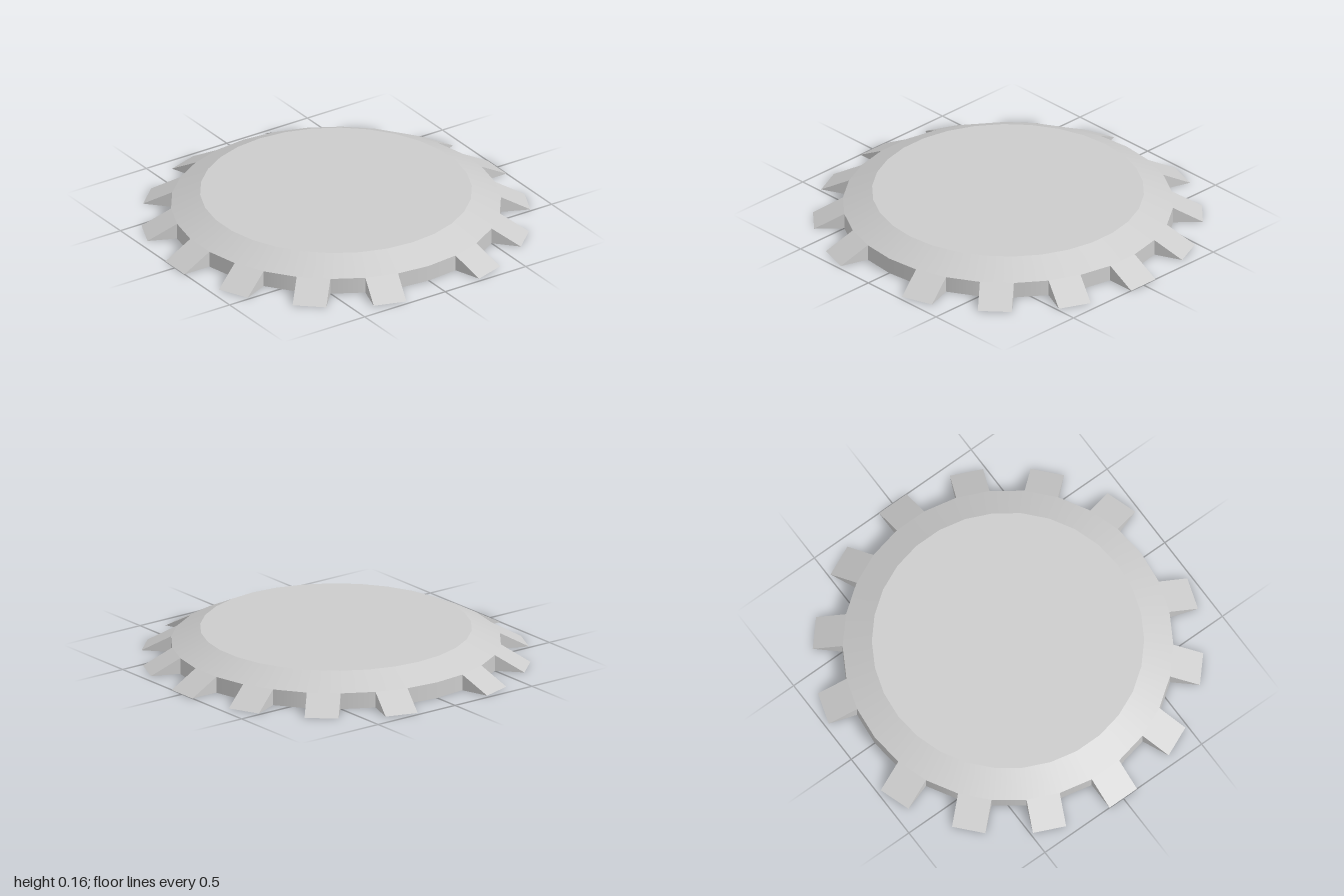
import * as THREE from 'three';

const SIDES = 30;
const TOP_R = 0.7, RIM_R = 0.85, TIP_R = 1;
const RIM_Y = 0.085, TOP_Y = 0.157;
const TOOTH_W = 0.175;

export function createModel() {
  const group = new THREE.Group();
  group.name = 'toothedDisc';
  const material = new THREE.MeshStandardMaterial({ color: 0xcccccc });

  // Each band is its own lathe, so the edges between bands stay sharp.
  const band = (name, ...points) => {
    const profile = points.map(([r, y]) => new THREE.Vector2(r, y));
    const mesh = new THREE.Mesh(new THREE.LatheGeometry(profile, SIDES), material);
    mesh.name = name;
    group.add(mesh);
  };
  band('underside', [0, 0], [RIM_R, 0]);
  band('rimWall', [RIM_R, 0], [RIM_R, RIM_Y]);
  band('slopedShoulder', [RIM_R, RIM_Y], [TOP_R, TOP_Y]);
  band('topFace', [TOP_R, TOP_Y], [0, TOP_Y]);

  // Wedge tooth, seated on one flat facet of the rim.
  const inner = RIM_R * Math.cos(Math.PI / SIDES);
  const wedge = new THREE.Shape([
    new THREE.Vector2(inner, 0),
    new THREE.Vector2(TIP_R, 0),
    new THREE.Vector2(inner, RIM_Y),
  ]);
  const toothGeometry = new THREE.ExtrudeGeometry(wedge, { depth: TOOTH_W, bevelEnabled: false });
  toothGeometry.translate(0, 0, -TOOTH_W / 2);

  // Seven teeth on each side, leaving a wider gap at front and back.
  for (const base of [0, 180]) {
    for (let i = -3; i <= 3; i++) {
      const tooth = new THREE.Mesh(toothGeometry, material);
      tooth.name = 'tooth';
      tooth.rotation.y = THREE.MathUtils.degToRad(base + i * 24);
      group.add(tooth);
    }
  }
  return group;
}
